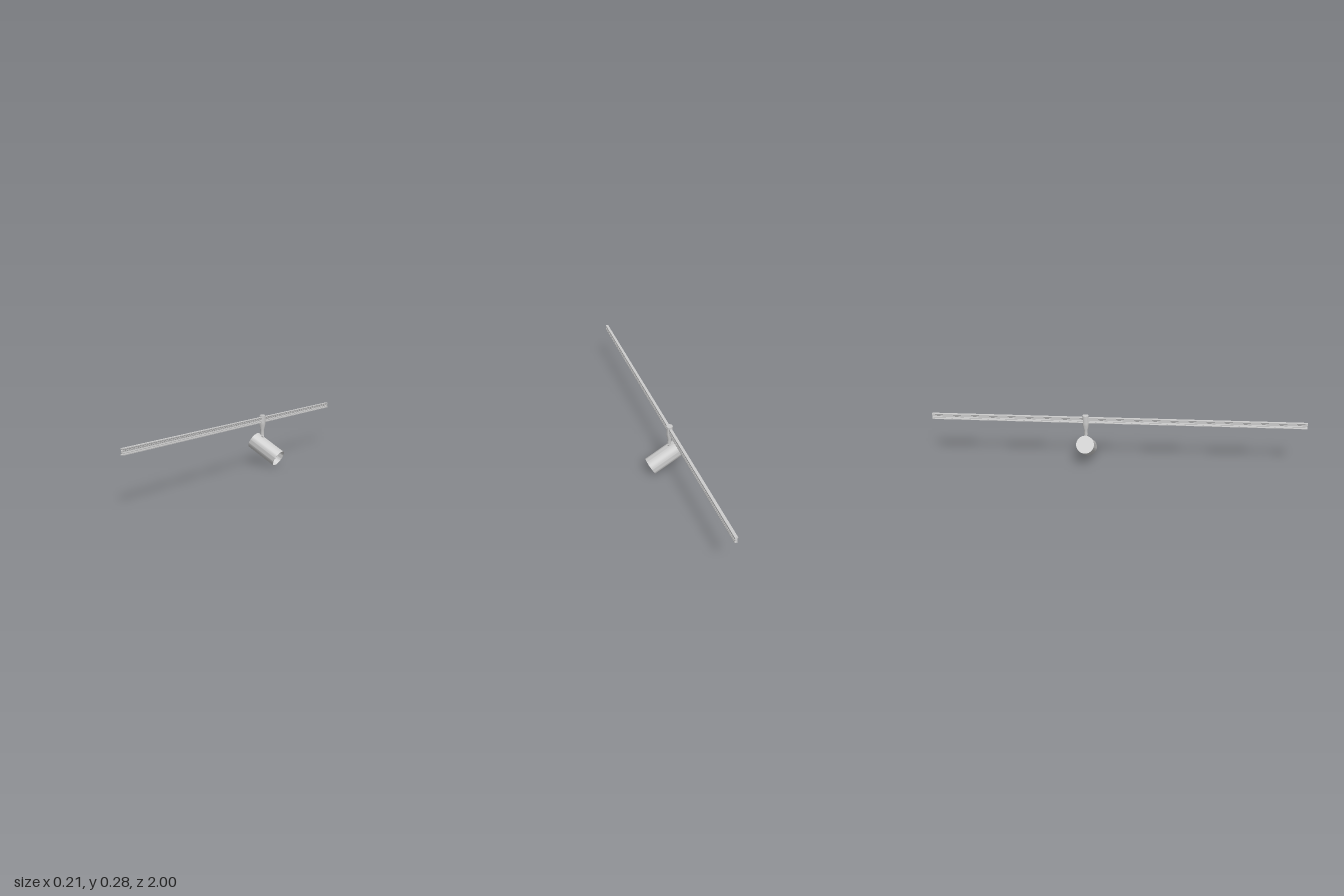
import * as THREE from 'three';
import { toCreasedNormals } from 'three/addons/utils/BufferGeometryUtils.js';

const X = -0.025, Z = -0.168; // stem axis
const grey = new THREE.MeshStandardMaterial({ color: 0xcccccc, side: THREE.DoubleSide });

function add(parent, name, geometry, x = 0, y = 0, z = 0) {
  const mesh = new THREE.Mesh(geometry, grey);
  mesh.name = name;
  mesh.position.set(x, y, z);
  parent.add(mesh);
  return mesh;
}

function lathe(points, segments = 48) {
  const geo = new THREE.LatheGeometry(points.map(p => new THREE.Vector2(...p)), segments);
  return toCreasedNormals(geo, 0.5);
}

// Rail: grooved profile with two round bores, run along z
function railGeometry() {
  const w = 0.0075, h = 0.0155, g = 0.004;
  const right = [[w, -h], [w, -0.011], [g + 0.002, -0.009], [g + 0.002, -0.004], [g, -0.0025],
    [g, 0.0025], [g + 0.002, 0.004], [g + 0.002, 0.009], [w, 0.011], [w, h]];
  const left = right.map(([x, y]) => [-x, y]).reverse();
  const shape = new THREE.Shape([...right, ...left].map(p => new THREE.Vector2(...p)));
  for (const y of [-0.0085, 0.0085]) {
    const bore = new THREE.Path();
    bore.absarc(0, y, 0.005, 0, Math.PI * 2, true);
    shape.holes.push(bore);
  }
  const geo = new THREE.ExtrudeGeometry(shape, { depth: 2, bevelEnabled: false, curveSegments: 10 });
  return geo.translate(0, 0, -1);
}

// Cheek: circle segment beside the rail slot, extruded upwards
function cheekGeometry(r, slot, height) {
  const a = Math.acos(slot / r);
  const shape = new THREE.Shape();
  shape.absarc(0, 0, r, -a, a, false);
  shape.closePath();
  const geo = new THREE.ExtrudeGeometry(shape, { depth: height, bevelEnabled: false, curveSegments: 16 });
  return toCreasedNormals(geo.rotateX(-Math.PI / 2), 0.5);
}

export function createModel() {
  const model = new THREE.Group();
  model.name = 'trackLight';

  add(model, 'rail', railGeometry(), X, 0.256, 0);

  // Stem clasping the rail
  const stem = new THREE.Group();
  stem.name = 'stem';
  stem.position.set(X, 0, Z);
  model.add(stem);
  const r = 0.0165;
  add(stem, 'stemBody', lathe([[0, 0.17], [0.0098, 0.17], [0.0098, 0.2], [r, 0.225], [r, 0.24], [0, 0.24]], 32));
  add(stem, 'stemCap', lathe([[0, 0.272], [r, 0.272], [r, 0.282], [0, 0.282]], 32));
  for (const side of [0, Math.PI])
    add(stem, 'stemCheek', cheekGeometry(r, 0.0078, 0.032), 0, 0.24, 0).rotation.y = side;

  // Swivel joint between stem and lamp
  add(stem, 'swivelNeck', new THREE.CylinderGeometry(0.005, 0.005, 0.014, 16), 0, 0.166, 0);
  const pin = add(stem, 'swivelPin', new THREE.CylinderGeometry(0.004, 0.004, 0.014, 16), 0, 0.164, 0);
  pin.rotation.x = Math.PI / 2;
  const foot = add(stem, 'swivelFoot', new THREE.CylinderGeometry(0.0065, 0.0065, 0.014, 16), 0.001, 0.159, 0);
  foot.rotation.z = -Math.PI / 6;

  // Lamp: local +y is the beam direction, tilted 30 degrees down
  const lamp = new THREE.Group();
  lamp.name = 'lamp';
  lamp.position.set(0, 0.09, Z);
  lamp.rotation.z = -Math.PI * 2 / 3;
  model.add(lamp);
  const R = 0.048, H = 0.092;
  add(lamp, 'lampHousing', lathe([[0, -H], [R, -H], [R, H], [R - 0.002, H], [R - 0.002, H - 0.034],
    [0.032, H - 0.034], [0.032, H - 0.04]], 64));
  add(lamp, 'lens', new THREE.CylinderGeometry(0.032, 0.032, 0.003, 48), 0, H - 0.041, 0);
  return model;
}
